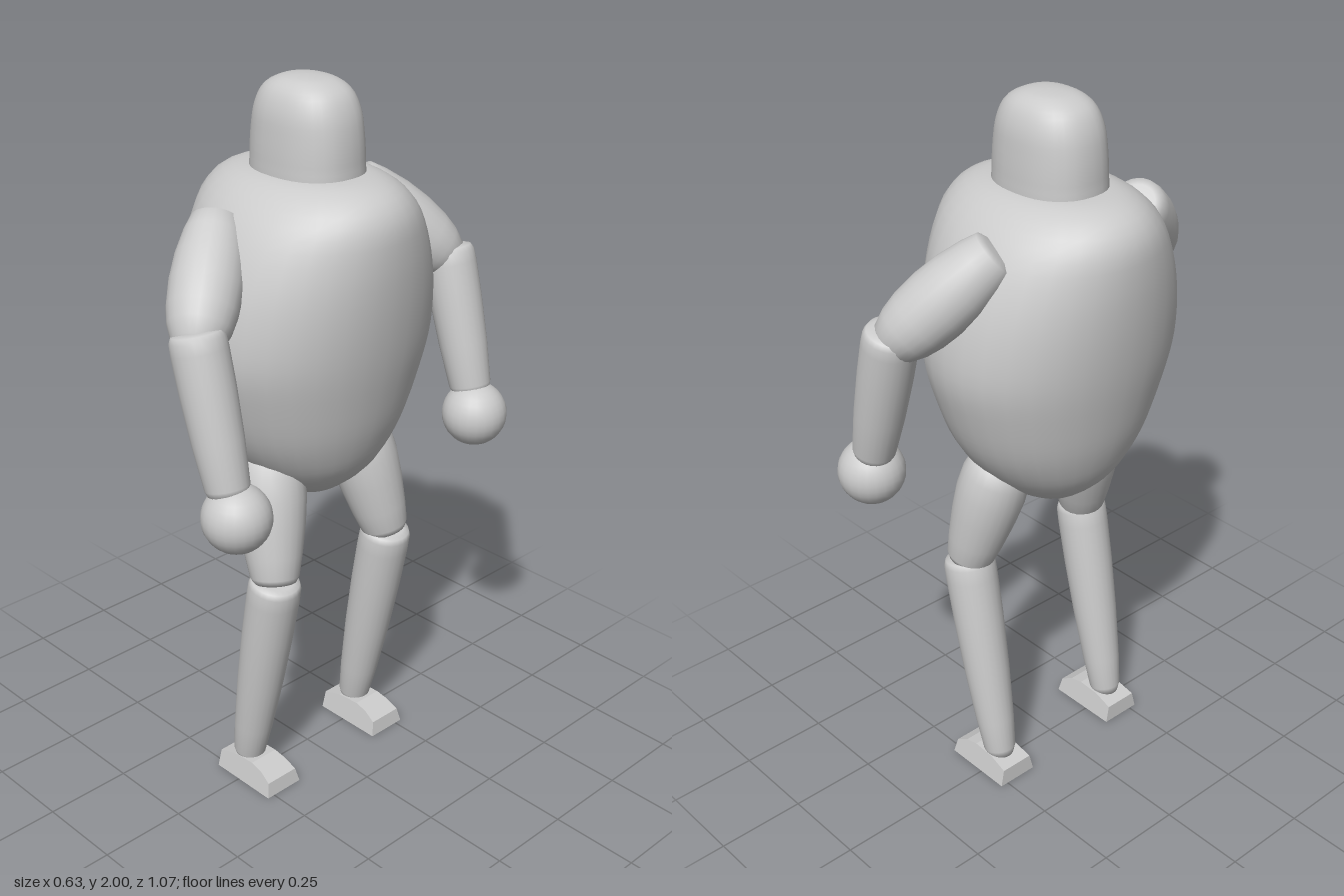
import * as THREE from 'three';

const material = new THREE.MeshStandardMaterial({ color: 0xcccccc });
const V = (p) => new THREE.Vector3(...p);

function addMesh(parent, name, geometry) {
  const mesh = new THREE.Mesh(geometry, material);
  mesh.name = name;
  parent.add(mesh);
  return mesh;
}

// Smooth closed body through [y, half width x, half depth z] rings, bottom to top
function loft(rings, steps, sides, power) {
  const curve = new THREE.CatmullRomCurve3(rings.map(V), false, 'centripetal');
  const positions = [], index = [];
  const squash = (v) => Math.sign(v) * Math.abs(v) ** (2 / power);
  curve.getSpacedPoints(steps).forEach((p, i) => {
    for (let j = 0; j < sides; j++) {
      const a = (j / sides) * Math.PI * 2;
      positions.push(p.y * squash(Math.cos(a)), p.x, p.z * squash(Math.sin(a)));
      if (i === steps) continue;
      const k = (j + 1) % sides;
      const n = i * sides;
      index.push(n + j, n + sides + j, n + k, n + k, n + sides + j, n + sides + k);
    }
  });
  const g = new THREE.BufferGeometry();
  g.setAttribute('position', new THREE.Float32BufferAttribute(positions, 3));
  g.setIndex(index);
  g.computeVertexNormals();
  return g;
}

// Round limb from one point to another; profile holds [radius, fraction of length]
function addLimb(parent, name, from, to, profile) {
  const a = V(from), dir = V(to).sub(a), length = dir.length();
  const points = profile.map(([r, t]) => new THREE.Vector2(r, t * length));
  const limb = addMesh(parent, name, new THREE.LatheGeometry(points, 24));
  limb.position.copy(a);
  limb.quaternion.setFromUnitVectors(new THREE.Vector3(0, 1, 0), dir.normalize());
}

// Wedge foot: side outline extruded across z, then narrowed towards the top
function footGeometry() {
  const outline = [[-0.09, 0], [0.125, 0], [0.117, 0.042], [0.08, 0.062], [0.04, 0.07], [-0.03, 0.066], [-0.088, 0.05]];
  const shape = new THREE.Shape(outline.map(([x, y]) => new THREE.Vector2(x, y)));
  const g = new THREE.ExtrudeGeometry(shape, { depth: 0.122, bevelEnabled: false });
  g.translate(0, 0, -0.061);
  const p = g.attributes.position;
  for (let i = 0; i < p.count; i++) p.setZ(i, p.getZ(i) * (1 - 3.75 * p.getY(i)));
  g.computeVertexNormals();
  return g;
}

const upperArm = [[0, 0], [0.045, 0.005], [0.066, 0.03], [0.078, 0.14], [0.09, 0.32], [0.094, 0.5],
  [0.09, 0.68], [0.081, 0.8], [0.064, 0.91], [0.036, 0.98], [0, 1]];
const lowerArm = [[0, 0], [0.045, 0.004], [0.064, 0.018], [0.071, 0.05], [0.073, 0.12], [0.072, 0.35],
  [0.067, 0.65], [0.058, 0.93], [0.05, 0.985], [0, 1]];
const thigh = [[0, 0], [0.05, 0.01], [0.08, 0.06], [0.093, 0.18], [0.096, 0.35], [0.09, 0.55],
  [0.078, 0.78], [0.067, 0.94], [0.058, 0.985], [0, 1]];
const shin = [[0, 0], [0.05, 0.003], [0.066, 0.012], [0.072, 0.035], [0.073, 0.1], [0.071, 0.3],
  [0.065, 0.55], [0.055, 0.8], [0.046, 0.95], [0.036, 0.99], [0, 1]];

export function createModel() {
  const model = new THREE.Group();
  model.name = 'figure';

  addMesh(model, 'torso', loft([
    [0.856, 0.001, 0.001], [0.868, 0.06, 0.05], [0.9, 0.115, 0.11], [0.97, 0.186, 0.195], [1.077, 0.233, 0.275],
    [1.21, 0.266, 0.328], [1.33, 0.289, 0.356], [1.475, 0.307, 0.342], [1.6, 0.313, 0.298], [1.68, 0.306, 0.25],
    [1.73, 0.275, 0.2], [1.76, 0.215, 0.145], [1.768, 0.13, 0.09], [1.769, 0.001, 0.001],
  ], 44, 32, 2.05));

  addMesh(model, 'head', loft([
    [1.74, 0.001, 0.001], [1.741, 0.157, 0.122], [1.78, 0.158, 0.123], [1.86, 0.154, 0.119], [1.92, 0.143, 0.112],
    [1.965, 0.12, 0.094], [1.99, 0.08, 0.065], [1.998, 0.04, 0.032], [2, 0.001, 0.001],
  ], 32, 32, 2.3));

  // Matching arms and legs on both sides
  for (const [side, s] of [['right', 1], ['left', -1]]) {
    const arm = new THREE.Group();
    arm.name = side + 'Arm';
    addLimb(arm, 'upperArm', [-0.075, 1.668, 0.238 * s], [0.1, 1.41, 0.468 * s], upperArm);
    addLimb(arm, 'lowerArm', [0.083, 1.472, 0.449 * s], [0.195, 1.06, 0.45 * s], lowerArm);
    addMesh(arm, 'hand', new THREE.SphereGeometry(0.091, 24, 16)).position.set(0.213, 1.009, 0.444 * s);

    const leg = new THREE.Group();
    leg.name = side + 'Leg';
    addLimb(leg, 'thigh', [0.015, 1.03, 0.155 * s], [0.1, 0.675, 0.215 * s], thigh);
    addLimb(leg, 'shin', [0.102, 0.692, 0.214 * s], [-0.022, 0.045, 0.214 * s], shin);
    addMesh(leg, 'foot', footGeometry()).position.z = 0.212 * s;
    model.add(arm, leg);
  }
  return model;
}
